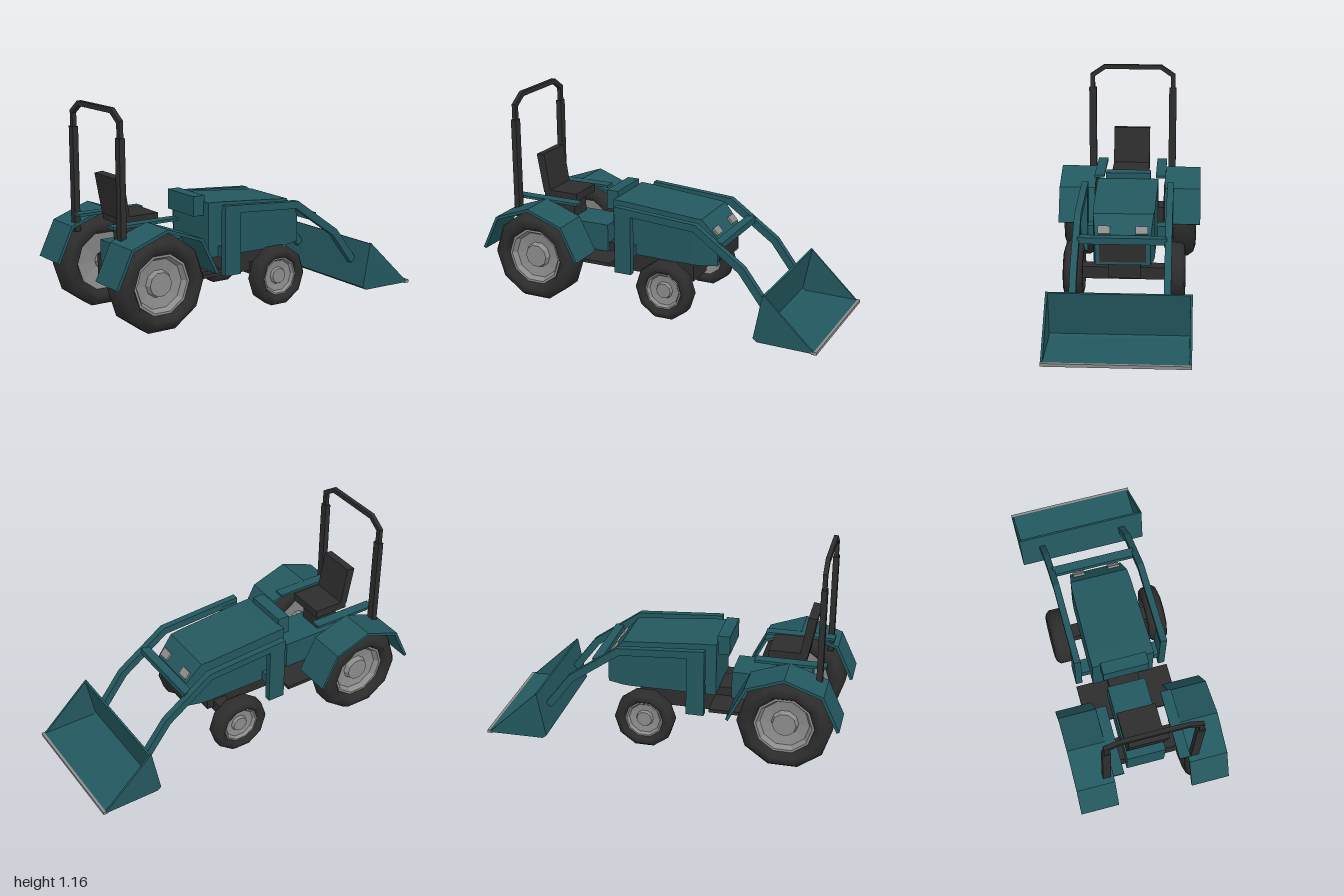
import * as THREE from 'three';

const paint = new THREE.MeshStandardMaterial({ color: 0x23585f, side: THREE.DoubleSide });
paint.name = 'teal paint';
const dark = new THREE.MeshStandardMaterial({ color: 0x2d2d2d });
dark.name = 'black rubber and frame';
const silver = new THREE.MeshStandardMaterial({ color: 0x8c8c8c });
silver.name = 'grey metal';

export function createModel() {
  const model = new THREE.Group();
  model.name = 'bucketTractor';

  const add = (name, geometry, material, parent = model) => {
    const mesh = new THREE.Mesh(geometry, material);
    mesh.name = name;
    parent.add(mesh);
    return mesh;
  };
  // Box given by its limits on each axis
  const box = (name, material, x0, x1, y0, y1, z0, z1) => {
    const g = new THREE.BoxGeometry(x1 - x0, y1 - y0, z1 - z0);
    g.translate((x0 + x1) / 2, (y0 + y1) / 2, (z0 + z1) / 2);
    return add(name, g, material);
  };
  // Polygon in the xy plane, extruded from z0 to z1
  const prism = (points, z0, z1) => {
    const shape = new THREE.Shape(points.map(([x, y]) => new THREE.Vector2(x, y)));
    const g = new THREE.ExtrudeGeometry(shape, { depth: z1 - z0, bevelEnabled: false });
    return g.translate(0, 0, z0);
  };
  // Polyline thickened to a mitred band, then extruded
  const band = (points, thickness, z0, z1) => {
    const dirs = points.slice(1).map((p, i) =>
      new THREE.Vector2(p[0] - points[i][0], p[1] - points[i][1]).normalize());
    const offset = (s) => points.map((p, i) => {
      const a = dirs[Math.max(i - 1, 0)], b = dirs[Math.min(i, dirs.length - 1)];
      const m = a.clone().add(b).normalize();
      const k = s * thickness / 2 / m.dot(a);
      return [p[0] - m.y * k, p[1] + m.x * k];
    });
    return prism([...offset(-1), ...offset(1).reverse()], z0, z1);
  };

  // Wheels: ten-sided tyres with dished rims
  const lathe = (profile, kr, kz) => {
    const pts = profile.map(([r, z]) => new THREE.Vector2(r * kr, z * kz));
    return new THREE.LatheGeometry(pts, 10, Math.PI / 10).rotateX(Math.PI / 2);
  };
  const tyreProfile = [[0.165, -0.06], [0.19, -0.1], [0.235, -0.085], [0.26, -0.05],
    [0.26, 0.05], [0.235, 0.085], [0.19, 0.1], [0.165, 0.06], [0.165, -0.06]];
  const rimProfile = [[0, -0.15], [0.05, -0.15], [0.05, -0.04], [0.17, -0.06], [0.17, 0.06],
    [0.152, 0.06], [0.135, 0.03], [0.075, 0.02], [0.065, 0.05], [0, 0.05]];
  const wheel = (name, x, y, z, kr, kz, side) => {
    const group = new THREE.Group();
    group.name = name;
    add('tyre', lathe(tyreProfile, kr, kz), dark, group);
    const rim = lathe(rimProfile, kr, kz).toNonIndexed();
    rim.computeVertexNormals();
    add('rim', rim, silver, group);
    group.position.set(x, y, z * side);
    if (side < 0) group.rotation.y = Math.PI;
    model.add(group);
  };

  // Parts that appear on both sides
  for (const s of [1, -1]) {
    const name = s > 0 ? 'near' : 'far';
    const span = (a, b) => (s > 0 ? [a, b] : [-b, -a]);
    wheel(name + 'RearWheel', -0.695, 0.26, 0.302, 1, 1, s);
    wheel(name + 'FrontWheel', 0.09, 0.173, 0.285, 0.65, 0.56, s);
    add(name + 'Fender', band([[-0.99, 0.29], [-0.9, 0.48], [-0.695, 0.555], [-0.49, 0.48],
      [-0.395, 0.29]], 0.016, ...span(0.21, 0.425)), paint);
    box(name + 'FenderShelf', paint, -0.89, -0.5, 0.545, 0.56, ...span(0.155, 0.215));
    box(name + 'FootPlate', dark, -0.5, -0.265, 0.24, 0.26, ...span(0.08, 0.27));
    box(name + 'LiftPost', paint, -0.235, -0.135, 0.21, 0.57, ...span(0.228, 0.266));
    box(name + 'PostBracket', paint, -0.225, -0.145, 0.3, 0.36, ...span(0.17, 0.23));
    add(name + 'LiftArm', band([[-0.235, 0.578], [0.25, 0.545], [0.525, 0.35], [0.665, 0.165]],
      0.042, ...span(0.23, 0.267)), paint);
    box(name + 'RollPost', dark, -0.877, -0.845, 0.45, 1.02, ...span(0.225, 0.27));
    const light = add(name + 'Headlight', new THREE.BoxGeometry(0.045, 0.015, 0.067), silver);
    light.position.set(0.318, 0.493, 0.102 * s);
    light.rotation.z = -0.85;
    add(name + 'BucketSide', prism([[0.7, 0.285], [0.645, 0.03], [0.668, 0.012], [0.985, 0.012]],
      ...span(0.368, 0.38)), paint);
  }

  // Roll bar hoop
  const hoop = band([[-0.248, 1.0], [-0.248, 1.1], [-0.173, 1.151], [0.173, 1.151],
    [0.248, 1.1], [0.248, 1.0]], 0.027, -0.012, 0.012);
  add('rollHoop', hoop.rotateY(Math.PI / 2), dark).position.x = -0.861;

  // Hood: a segmented box reshaped along its length
  const sections = [[-0.285, 0.176, 0.3, 0.606], [-0.2, 0.176, 0.3, 0.602],
    [0.2, 0.17, 0.295, 0.569], [0.25, 0.165, 0.295, 0.565], [0.34, 0.15, 0.303, 0.46]];
  let hood = new THREE.BoxGeometry(4, 2, 2, 4, 1, 1);
  const p = hood.attributes.position;
  for (let i = 0; i < p.count; i++) {
    const [x, w, y0, y1] = sections[Math.round(p.getX(i) + 2)];
    p.setXYZ(i, x, p.getY(i) > 0 ? y1 : y0, p.getZ(i) * w);
  }
  hood = hood.toNonIndexed();
  hood.computeVertexNormals();
  add('hood', hood, paint);
  box('grille', dark, 0.338, 0.346, 0.32, 0.44, -0.126, 0.126);
  box('dashboard', paint, -0.35, -0.28, 0.53, 0.64, -0.13, 0.13);

  // Chassis and axles
  box('chassis', dark, -0.41, 0.17, 0.16, 0.31, -0.09, 0.09);
  box('frontAxle', dark, 0.05, 0.13, 0.14, 0.21, -0.25, 0.25);
  box('rearAxle', dark, -0.76, -0.63, 0.2, 0.32, -0.2, 0.2);
  box('transmission', paint, -0.79, -0.36, 0.205, 0.42, -0.11, 0.11);

  // Seat
  box('seatPedestal', dark, -0.73, -0.6, 0.42, 0.53, -0.07, 0.07);
  box('seatCushion', dark, -0.77, -0.56, 0.53, 0.577, -0.11, 0.11);
  add('seatBack', prism([[-0.775, 0.56], [-0.73, 0.56], [-0.768, 0.79], [-0.816, 0.785]],
    -0.11, 0.11), dark);

  // Lift cross bar and bucket
  box('liftCrossBar', paint, 0.355, 0.405, 0.442, 0.478, -0.24, 0.24);
  add('bucketShell', band([[0.7, 0.28], [0.652, 0.032], [0.672, 0.018], [0.985, 0.014]],
    0.012, -0.38, 0.38), paint);
  box('cuttingEdge', silver, 0.972, 1, 0.003, 0.02, -0.38, 0.38);

  return model;
}
